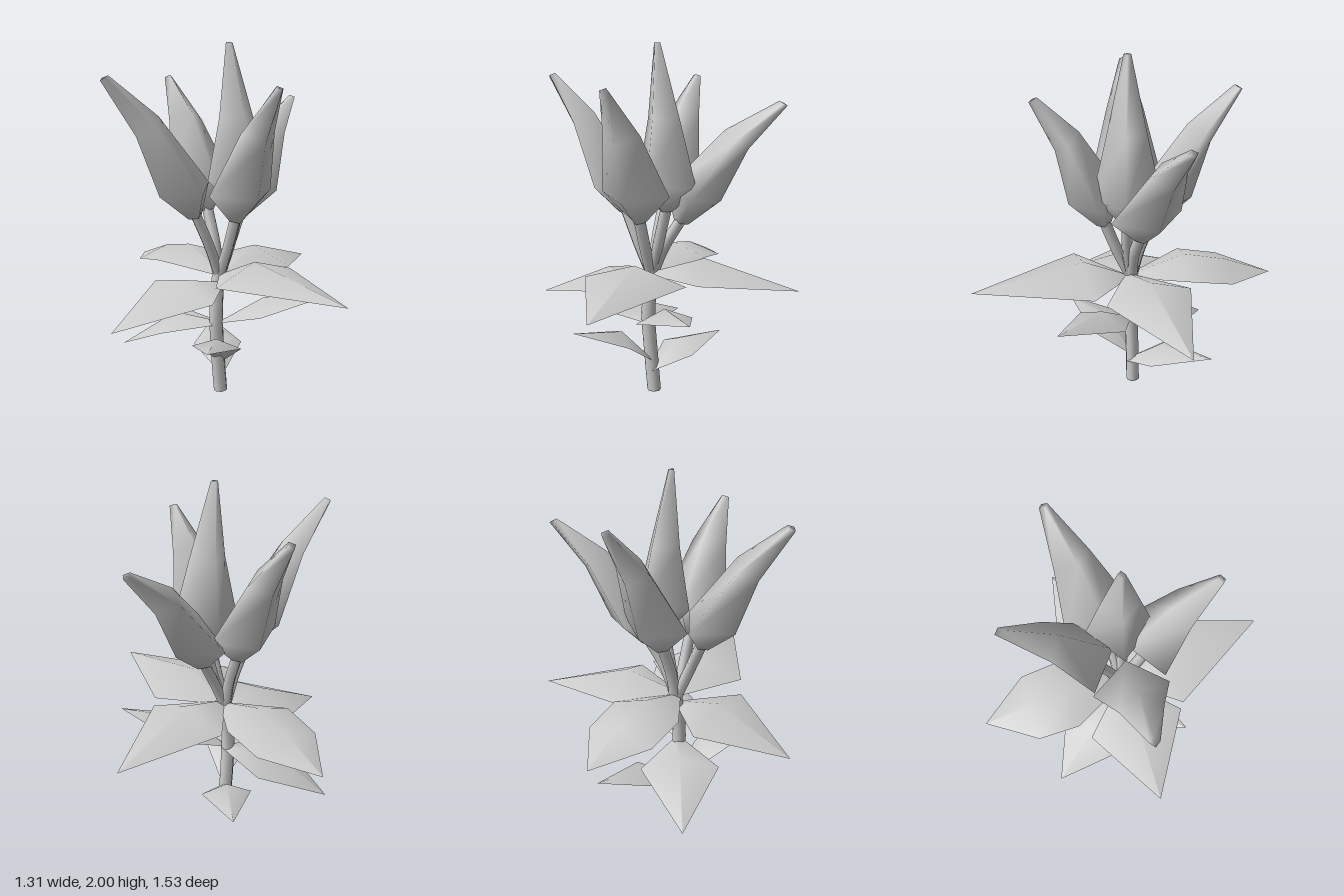
import * as THREE from 'three';

const material = new THREE.MeshStandardMaterial({ color: 0xcccccc, side: THREE.DoubleSide });

function addMesh(parent, name, geometry) {
  const mesh = new THREE.Mesh(geometry, material);
  mesh.name = name;
  parent.add(mesh);
}

function indexed(points, index) {
  const g = new THREE.BufferGeometry();
  g.setAttribute('position', new THREE.Float32BufferAttribute(points.flatMap(p => p.toArray()), 3));
  g.setIndex(index);
  g.computeVertexNormals();
  return g;
}

// Maps (distance out, height, sideways) onto the heading of a tip point
function heading(x, z) {
  const len = Math.hypot(x, z), dx = x / len, dz = z / len;
  return (r, y, s = 0) => new THREE.Vector3(dx * r - dz * s, y, dz * r + dx * s);
}

function tube(points, radius, sides) {
  const curve = new THREE.CatmullRomCurve3(points);
  return new THREE.TubeGeometry(curve, 10, radius, sides);
}

// Four-sided bud; each ring is [out, height, radial half, side half, tilt]
function budGeometry(at, rings) {
  const points = [], index = [];
  for (const [r, y, a, b, t] of rings) {
    points.push(at(r + a, y - t), at(r, y, b), at(r - a, y + t), at(r, y, -b));
  }
  for (let i = 0; i < rings.length - 1; i++) {
    for (let j = 0; j < 4; j++) {
      const p = i * 4 + j, q = i * 4 + (j + 1) % 4;
      index.push(p, p + 4, q, q, p + 4, q + 4);
    }
  }
  const k = points.length - 4;
  index.push(0, 1, 2, 0, 2, 3, k, k + 2, k + 1, k, k + 3, k + 2);
  return indexed(points, index);
}

// Folded leaf; each row is [out, ridge height, half width, drop of the edges]
function leafGeometry(at, rows) {
  const points = [], index = [];
  for (const [r, y, w, drop] of rows) {
    points.push(at(r, y - drop, -w), at(r, y), at(r, y - drop, w));
  }
  for (let i = 0; i < rows.length - 1; i++) {
    for (let j = 0; j < 2; j++) {
      const p = i * 3 + j;
      index.push(p, p + 1, p + 3, p + 1, p + 4, p + 3);
    }
  }
  return indexed(points, index);
}

export function createModel() {
  const model = new THREE.Group();
  model.name = 'flowerPlant';
  const v = (x, y, z) => new THREE.Vector3(x, y, z);

  // Main stem, gently bent, with a closed foot
  addMesh(model, 'stem', tube([v(0, 0, -0.03), v(-0.02, 0.25, -0.02), v(-0.03, 0.48, -0.01), v(-0.02, 0.65, -0.02), v(0, 0.76, -0.02)], 0.04, 8));
  const foot = new THREE.CircleGeometry(0.04, 8).rotateX(Math.PI / 2).translate(0, 0, -0.03);
  addMesh(model, 'stemFoot', foot);

  const flowers = new THREE.Group();
  flowers.name = 'flowers';
  model.add(flowers);
  const addFlower = (name, at, rings) => {
    const [r, y] = rings[0];
    addMesh(flowers, name + 'Bud', budGeometry(at, rings));
    addMesh(flowers, name + 'Stalk', tube([v(-0.01, 0.7, -0.02), at(r * 0.45, 0.88), at(r, y + 0.02)], 0.032, 6));
  };

  // Outer buds, leaning towards their tips
  const outer = {
    left: [0.54, 1.69, -0.46],
    right: [-0.64, 1.82, 0.21],
    back: [-0.21, 1.81, -0.54],
    front: [0.19, 1.77, 0.45],
  };
  for (const [name, [x, y, z]] of Object.entries(outer)) {
    const R = Math.hypot(x, z), lift = (y - 1.8) * 0.3;
    addFlower(name, heading(x, z), [
      [0.04 + 0.19 * R, 1.06 + lift, 0.04, 0.04, 0.01],
      [0.03 + 0.3 * R, 1.22 + lift, 0.15, 0.205, 0.03],
      [0.66 * R, 1.2 + (y - 1.2) * 0.6, 0.065, 0.11, 0.05],
      [R, y, 0.022, 0.025, 0.012],
    ]);
  }

  // Upright centre bud
  addFlower('centre', heading(0.97, -0.24), [
    [0.11, 1.1, 0.04, 0.04, 0],
    [0.11, 1.25, 0.195, 0.185, 0.01],
    [0.09, 1.6, 0.105, 0.105, 0],
    [0.045, 2.0, 0.02, 0.02, 0],
  ]);

  // Leaves: tip, base height, then the rows between
  const leaves = [
    ['upperBackLeaf', [-0.35, 0.675, -0.77], 0.72, [[0.33, 0.83, 0.21, 0.07], [0.57, 0.78, 0.2, 0.06]]],
    ['upperLeftLeaf', [0.65, 0.67, -0.52], 0.73, [[0.31, 0.83, 0.25, 0.09]]],
    ['upperFrontLeaf', [0.46, 0.73, 0.76], 0.72, [[0.26, 0.84, 0.29, 0.09]]],
    ['upperRightLeaf', [-0.65, 0.52, 0.3], 0.67, [[0.27, 0.73, 0.28, 0.07]]],
    ['lowerLeftLeaf', [0.57, 0.62, 0.22], 0.44, [[0.24, 0.59, 0.165, 0.07]]],
    ['lowerRightLeaf', [-0.54, 0.22, -0.33], 0.43, [[0.29, 0.46, 0.22, 0.06]]],
    ['lowerFrontLeaf', [-0.17, 0.41, 0.42], 0.21, [[0.17, 0.39, 0.14, 0.05]]],
    ['lowerBackLeaf', [0.05, 0.265, -0.52], 0.14, [[0.2, 0.285, 0.145, 0.06]]],
  ];
  for (const [name, [x, y, z], baseY, rows] of leaves) {
    const all = [[0.0, baseY, 0.02, 0.01], ...rows, [Math.hypot(x, z), y, 0.002, 0]];
    addMesh(model, name, leafGeometry(heading(x, z), all));
  }
  return model;
}
